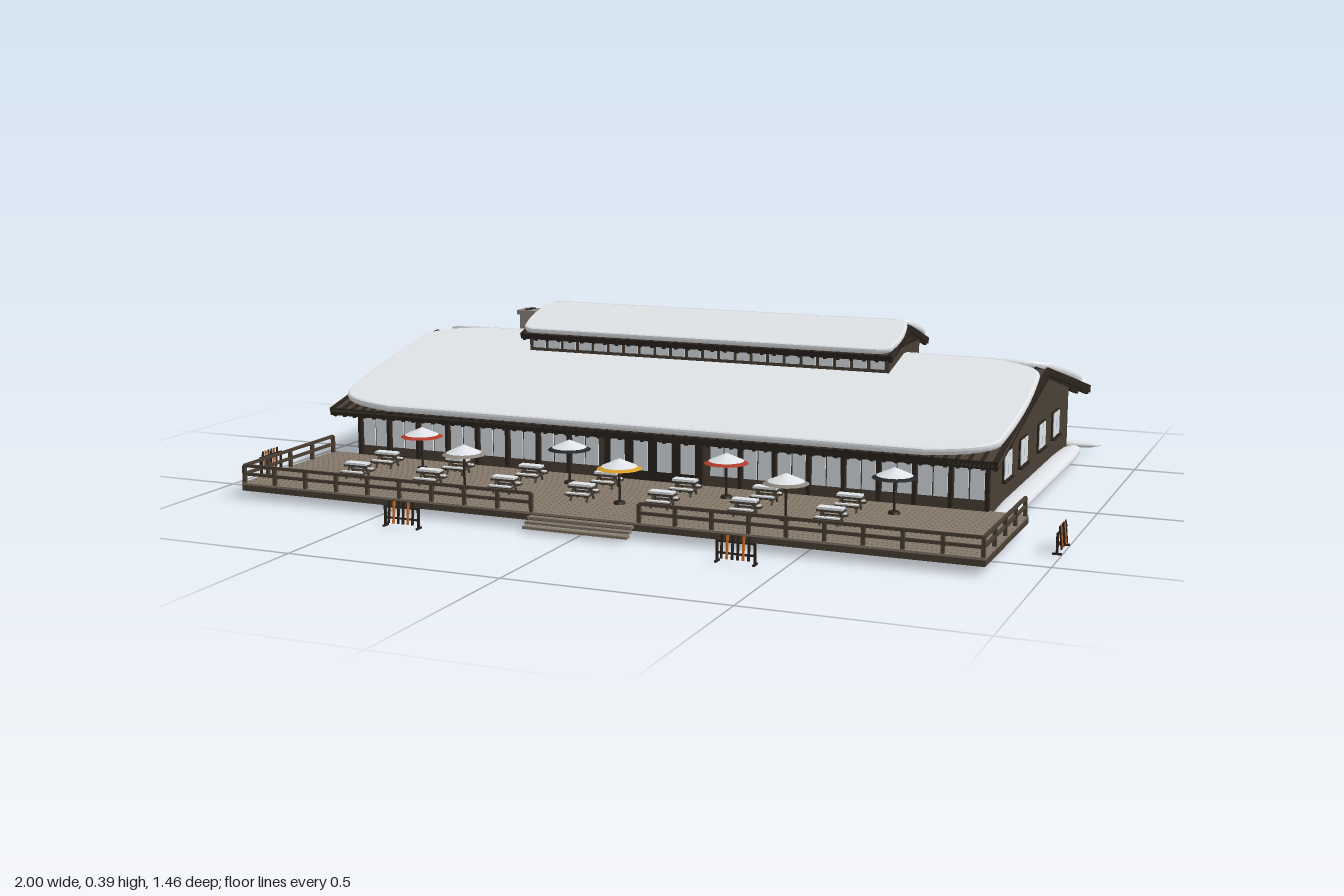
import * as THREE from 'three';

const mat = (name, color) => new THREE.MeshStandardMaterial({ name, color });

export function createModel() {
  const model = new THREE.Group();
  model.name = 'mountainLodge';
  const M = {
    snow: mat('snow', 0xe6eaee),
    wall: mat('darkTimber', 0x4a3f34),
    trim: mat('blackenedTrim', 0x2b241e),
    deck: mat('deckBoards', 0x85786a),
    glass: mat('windowPane', 0xdde3e8),
    stone: mat('chimneyStone', 0x8e867c),
    red: mat('redCanvas', 0xb03a2a),
    yellow: mat('yellowCanvas', 0xd9a02c),
    black: mat('blackCanvas', 0x26272a),
    orange: mat('orangeSki', 0xd2722c),
  };
  const add = (parent, name, geo, m, x = 0, y = 0, z = 0) => {
    const mesh = new THREE.Mesh(geo, m);
    mesh.name = name;
    mesh.position.set(x, y, z);
    parent.add(mesh);
    return mesh;
  };
  const box = (parent, name, m, w, h, d, x, y, z) =>
    add(parent, name, new THREE.BoxGeometry(w, h, d), m, x, y, z);
  const group = (parent, name, x = 0, y = 0, z = 0) => {
    const g = new THREE.Group();
    g.name = name;
    g.position.set(x, y, z);
    parent.add(g);
    return g;
  };
  const RIDGE = -0.21;

  // Main hall: gable section extruded along x
  const gable = new THREE.Shape([[0.23, 0.005], [0.23, 0.176], [RIDGE, 0.279], [-0.637, 0.176], [-0.637, 0.005]]
    .map(p => new THREE.Vector2(...p)));
  const hall = new THREE.ExtrudeGeometry(gable, { depth: 1.6, bevelEnabled: false });
  hall.rotateY(-Math.PI / 2).translate(0.8, 0, 0);
  add(model, 'hallWalls', hall, M.wall);

  // Snow sheet with softened corners, lying on the xz plane from z = 0 to z = L
  const snowSheet = (hw, L, cx, cz, t) => {
    const e = hw * 0.985, s = new THREE.Shape();
    s.moveTo(-hw + cx, 0);
    s.lineTo(hw - cx, 0);
    s.quadraticCurveTo(e, -cz * 0.25, e, -cz);
    s.quadraticCurveTo(hw + 0.005, -L / 2, e, -L + cz);
    s.quadraticCurveTo(e, -L + cz * 0.25, hw - cx, -L);
    s.lineTo(-hw + cx, -L);
    s.quadraticCurveTo(-e, -L + cz * 0.25, -e, -L + cz);
    s.quadraticCurveTo(-hw - 0.005, -L / 2, -e, -cz);
    s.quadraticCurveTo(-e, -cz * 0.25, -hw + cx, 0);
    const g = new THREE.ExtrudeGeometry(s, {
      depth: t * 0.4, bevelThickness: t * 0.6, bevelSize: t * 0.5, bevelOffset: -t * 0.5, bevelSegments: 2, curveSegments: 8,
    });
    return g.rotateX(-Math.PI / 2).translate(0, t * 0.6, 0);
  };

  // A gabled roof: plank deck, rafters and snow on both slopes
  const roof = (name, hw, run, drop, ridgeY, cx, cz, t, planks) => {
    const r = group(model, name, 0, ridgeY, RIDGE);
    const L = Math.hypot(run, drop);
    for (const turn of [0, Math.PI]) {
      const side = group(r, 'roofSlope');
      side.rotation.set(Math.atan2(drop, run), turn, 0, 'YXZ');
      box(side, 'roofDeck', M.wall, hw * 2, t, L, 0, -t * 1.5, L / 2);
      box(side, 'eaveBoard', M.trim, hw * 2, t * 1.6, 0.006, 0, -t * 1.6, L - 0.003);
      for (let i = 0; i <= planks; i++) {
        const x = -hw + 0.008 + (i / planks) * (hw * 2 - 0.016);
        box(side, 'roofBatten', M.trim, 0.007, t * 0.5, L, x, -t * 0.8, L / 2);
        box(side, 'rafterTail', M.trim, 0.008, t, 0.09 * run / 0.525, x, -t * 2.4, L - 0.05 * run / 0.525);
      }
      for (const s of [-1, 1]) box(side, 'bargeBoard', M.trim, 0.006, t * 1.6, L, s * (hw - 0.003), -t * 1.5, L / 2);
      add(side, 'roofSnow', snowSheet(hw + 0.004, L, cx, cz, t), M.snow, 0, -t * 0.6, 0);
    }
  };
  roof('mainRoof', 0.84, 0.525, 0.125, 0.3, 0.17, 0.09, 0.011, 60);
  roof('lanternRoof', 0.495, 0.165, 0.052, 0.383, 0.04, 0.03, 0.009, 30);

  // Raised lantern with a strip of panes along both long sides
  const lantern = group(model, 'roofLantern', 0, 0, RIDGE + 0.005);
  box(lantern, 'lanternWalls', M.wall, 0.96, 0.08, 0.264, 0, 0.285, 0);
  for (const s of [-1, 1]) for (let i = 0; i < 22; i++) {
    box(lantern, 'lanternPane', M.glass, 0.034, 0.026, 0.004, (i - 10.5) * 0.043, 0.3, s * 0.133);
  }
  for (const s of [-1, 1]) box(lantern, 'ridgeBeam', M.trim, 0.02, 0.012, 0.26, s * 0.47, 0.328, 0);

  // Chimney with two flues
  const chimney = group(model, 'chimney', -0.6, 0, -0.31);
  box(chimney, 'chimneyStack', M.stone, 0.042, 0.1, 0.046, 0, 0.29, 0);
  box(chimney, 'chimneyCap', M.stone, 0.054, 0.012, 0.058, 0, 0.343, 0);
  for (const s of [-1, 1]) box(chimney, 'flue', M.black, 0.014, 0.004, 0.014, 0, 0.35, s * 0.012);

  // Framed double window facing +z in its own group
  const windowUnit = (parent, x, y, z, w, h, ry) => {
    const g = group(parent, 'window', x, y, z);
    g.rotation.y = ry;
    box(g, 'windowFrame', M.trim, w + 0.008, h + 0.008, 0.006, 0, 0, 0.001);
    for (const s of [-1, 1]) box(g, 'windowPane', M.glass, w / 2 - 0.003, h, 0.004, s * w / 4, 0, 0.004);
    box(g, 'windowSill', M.trim, w + 0.014, 0.005, 0.012, 0, -h / 2 - 0.005, 0.004);
  };
  for (const s of [-1, 1]) for (const z of [0.058, -0.105, -0.305, -0.47]) {
    windowUnit(model, s * 0.8, 0.11, z, 0.072, 0.06, s * Math.PI / 2);
  }
  for (let i = 0; i < 9; i++) windowUnit(model, (i - 4) * 0.175, 0.108, -0.637, 0.07, 0.05, Math.PI);

  // Glazed front with posts and the entrance
  const front = group(model, 'frontFacade', 0, 0, 0.23);
  box(front, 'frontHeader', M.trim, 1.6, 0.012, 0.016, 0, 0.156, 0.004);
  for (const s of [-1, 1]) for (let i = 0; i < 8; i++) {
    const x = s * (0.178 + i * 0.083);
    for (const k of [-1, 1]) box(front, 'frontPane', M.glass, 0.032, 0.084, 0.004, x + k * 0.018, 0.105, 0.002);
    box(front, 'frontPost', M.trim, 0.009, 0.12, 0.014, x + 0.0415 * s, 0.1, 0.005);
  }
  box(front, 'entranceFrame', M.trim, 0.25, 0.12, 0.012, 0, 0.1, 0.003);
  for (const x of [-0.09, -0.03, 0.03, 0.09]) box(front, 'doorPane', M.glass, 0.036, 0.075, 0.004, x, 0.1, 0.009);

  // Snow banks along the sides and back
  const bankProfile = [[0.001, -1], [0.45, -0.97], [0.8, -0.88], [1, -0.6], [1, 0.6], [0.8, 0.88], [0.45, 0.97], [0.001, 1]]
    .map(p => new THREE.Vector2(...p));
  const bank = (x, z, halfLength, turn) => {
    const g = new THREE.LatheGeometry(bankProfile, 14).scale(0.03, halfLength, 0.0145).rotateX(-Math.PI / 2);
    add(model, 'snowBank', g, M.snow, x, 0.0185, z).rotation.y = turn;
  };
  bank(0.822, -0.2, 0.44, 0);
  bank(-0.822, -0.2, 0.44, 0);
  bank(0, -0.68, 0.885, Math.PI / 2);

  // Terrace
  const terrace = group(model, 'terrace');
  box(terrace, 'terraceFrame', M.wall, 1.78, 0.014, 0.392, 0, 0.025, 0.418);
  for (let i = 0; i < 20; i++) {
    box(terrace, 'terraceBoard', M.deck, 1.78, 0.005, 0.0182, 0, 0.0345, 0.23 + i * 0.0198);
  }
  for (let i = 0; i < 3; i++) {
    box(terrace, 'step', M.deck, 0.25, 0.006, 0.016, -0.005, 0.027 - i * 0.008, 0.622 + i * 0.0125);
  }

  // Railing run between two points
  const railing = (x0, z0, x1, z1) => {
    const len = Math.hypot(x1 - x0, z1 - z0), n = Math.round(len / 0.085);
    const g = group(terrace, 'railing', (x0 + x1) / 2, 0, (z0 + z1) / 2);
    g.rotation.y = Math.atan2(-(z1 - z0), x1 - x0);
    for (const y of [0.058, 0.078]) box(g, 'rail', M.wall, len, 0.007, 0.006, 0, y, 0);
    for (let i = 0; i <= n; i++) box(g, 'railPost', M.wall, 0.008, 0.046, 0.008, -len / 2 + len * i / n, 0.055, 0);
  };
  for (const s of [-1, 1]) {
    railing(s * 0.13, 0.61, s * 0.885, 0.61);
    railing(s * 0.885, 0.235, s * 0.885, 0.61);
  }

  // Picnic tables with snow on top, two rows of seven
  for (const z of [0.335, 0.468]) for (let i = 0; i < 7; i++) {
    const t = group(terrace, 'picnicTable', -0.665 + i * 0.197, 0.037, z);
    box(t, 'tableTop', M.wall, 0.06, 0.005, 0.026, 0, 0.031, 0);
    box(t, 'tableSnow', M.snow, 0.056, 0.005, 0.024, 0, 0.036, 0);
    for (const s of [-1, 1]) {
      box(t, 'bench', M.wall, 0.06, 0.004, 0.012, 0, 0.016, s * 0.024);
      box(t, 'benchSnow', M.snow, 0.054, 0.003, 0.01, 0, 0.0195, s * 0.024);
      box(t, 'benchBeam', M.wall, 0.004, 0.004, 0.056, s * 0.02, 0.013, 0);
      for (const k of [-1, 1]) box(t, 'tableLeg', M.wall, 0.004, 0.034, 0.004, s * 0.02, 0.015, k * 0.011).rotation.x = -k * 0.5;
    }
  }

  // Parasols: coloured canopy with a cap of snow
  const parasol = (x, z, m) => {
    const g = group(terrace, 'parasol', x, 0.037, z);
    add(g, 'parasolPole', new THREE.CylinderGeometry(0.003, 0.003, 0.09, 8), M.trim, 0, 0.045, 0);
    add(g, 'parasolFoot', new THREE.CylinderGeometry(0.012, 0.014, 0.006, 10), M.trim, 0, 0.003, 0);
    add(g, 'parasolCanopy', new THREE.ConeGeometry(0.051, 0.02, 16), m, 0, 0.091, 0);
    add(g, 'parasolSnow', new THREE.ConeGeometry(0.041, 0.018, 16), M.snow, 0, 0.0955, 0);
  };
  [[-0.572, M.red], [-0.175, M.black], [0.22, M.red], [0.615, M.black]].forEach(([x, m]) => parasol(x, 0.325, m));
  [[-0.375, M.stone], [0.02, M.yellow], [0.415, M.stone]].forEach(([x, m]) => parasol(x, 0.47, m));

  // Ski racks around the terrace
  const rack = (x, z, ry) => {
    const g = group(model, 'skiRack', x, 0, z);
    g.rotation.y = ry;
    for (const y of [0.02, 0.045]) box(g, 'rackRail', M.trim, 0.088, 0.004, 0.004, 0, y, 0);
    for (const s of [-1, 1]) {
      box(g, 'rackLeg', M.trim, 0.005, 0.047, 0.005, s * 0.042, 0.0235, 0);
      box(g, 'rackFoot', M.trim, 0.005, 0.004, 0.02, s * 0.042, 0.002, 0);
    }
    for (let i = 0; i < 6; i++) {
      box(g, 'ski', i % 3 === 1 ? M.orange : M.trim, 0.005, 0.05, 0.003, -0.03 + i * 0.012, 0.034, 0.004).rotation.x = -0.1;
    }
  };
  for (const s of [-1, 1]) {
    rack(s * 0.99, 0.355, s * Math.PI / 2);
    rack(s * 0.395, 0.717, 0);
  }
  return model;
}
